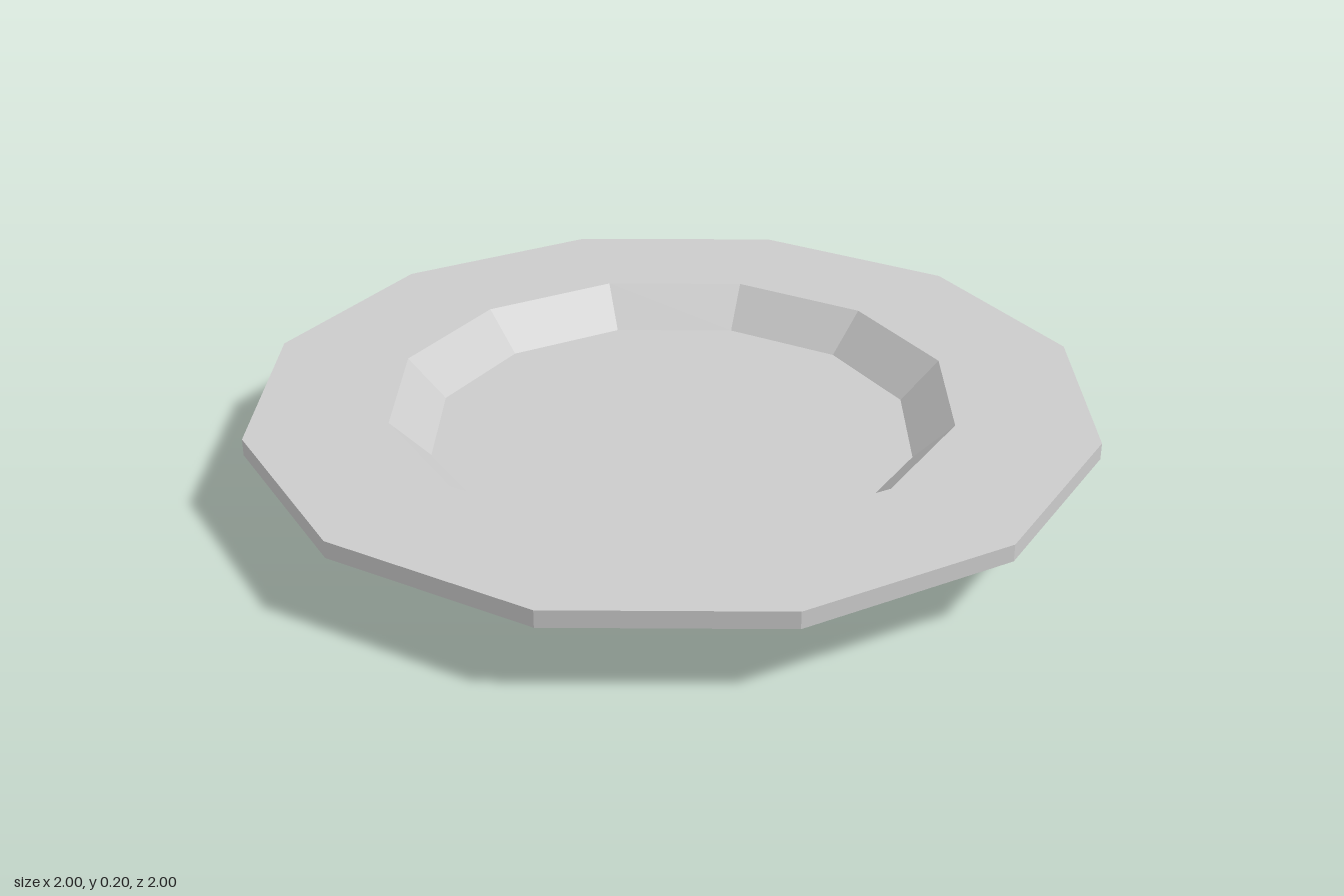
import * as THREE from 'three';

const SIDES = 12;

export function createModel() {
  const plate = new THREE.Group();
  plate.name = 'plate';

  const grey = new THREE.MeshStandardMaterial({ color: 0xcccccc, flatShading: true });
  grey.name = 'grey ceramic';

  // Revolve a [radius, height] profile into one faceted part
  const addRing = (name, profile) => {
    const points = profile.map(([r, y]) => new THREE.Vector2(r, y));
    const mesh = new THREE.Mesh(new THREE.LatheGeometry(points, SIDES), grey);
    mesh.name = name;
    plate.add(mesh);
  };

  // Flat base and its short flared foot
  addRing('foot', [[0, 0], [0.56, 0], [0.605, 0.045]]);
  // Sloping underside, upright edge and flat top of the rim
  addRing('rim', [[0.605, 0.045], [1, 0.16], [1, 0.2], [0.67, 0.2]]);
  // Sunken well with sloping wall and flat floor
  addRing('well', [[0.67, 0.2], [0.577, 0.105], [0, 0.105]]);

  return plate;
}
